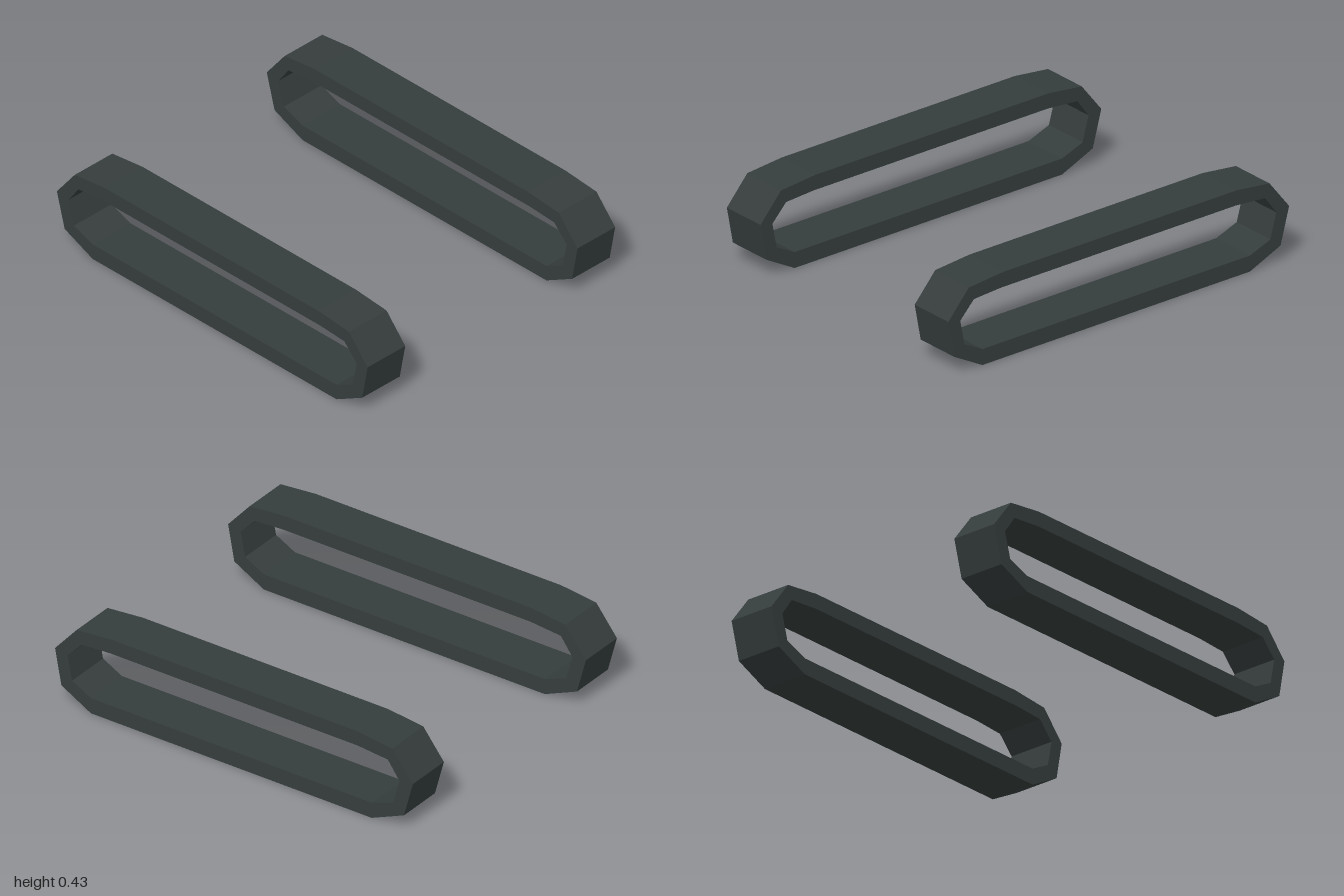
import * as THREE from 'three';

// Side profiles as [z, y] pairs
const OUTER = [
  [0.80, 0], [0.965, 0.09], [1.0, 0.275], [0.88, 0.412], [0.68, 0.43],
  [-0.69, 0.43], [-0.885, 0.407], [-1.0, 0.26], [-0.95, 0.077], [-0.77, 0],
];
const INNER = [
  [0.80, 0.08], [0.905, 0.135], [0.93, 0.26], [0.85, 0.345], [0.69, 0.355],
  [-0.69, 0.355], [-0.86, 0.34], [-0.925, 0.25], [-0.89, 0.125], [-0.77, 0.08],
];
const WIDTH = 0.24;
const CENTRE_X = 0.67;

const toPoints = (pairs) => pairs.map(([z, y]) => new THREE.Vector2(z, y));

// Closed belt: the outer loop with the inner loop cut out, extruded across x
function beltGeometry() {
  const shape = new THREE.Shape(toPoints(OUTER));
  shape.holes.push(new THREE.Path(toPoints(INNER)));
  const geometry = new THREE.ExtrudeGeometry(shape, { depth: WIDTH, bevelEnabled: false });
  geometry.translate(0, 0, -WIDTH / 2);
  geometry.rotateY(-Math.PI / 2); // profile x becomes z
  return geometry;
}

export function createModel() {
  const model = new THREE.Group();
  model.name = 'trackPair';

  const rubber = new THREE.MeshStandardMaterial({ color: 0x353d3c, flatShading: true });
  rubber.name = 'darkRubber';

  // One belt on each side
  const geometry = beltGeometry();
  for (const [name, side] of [['leftTrack', 1], ['rightTrack', -1]]) {
    const track = new THREE.Mesh(geometry, rubber);
    track.name = name;
    track.position.x = side * CENTRE_X;
    model.add(track);
  }
  return model;
}
